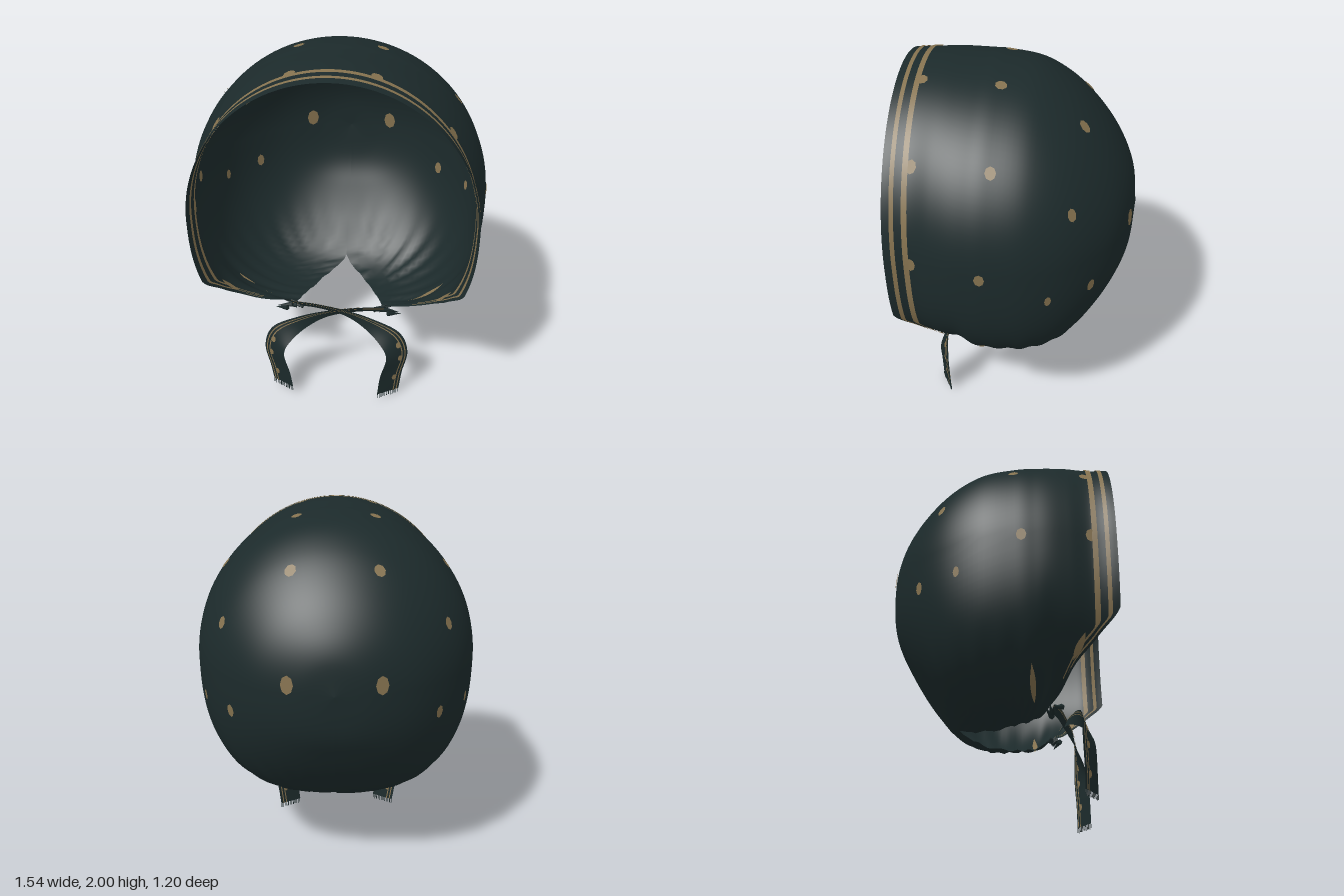
import * as THREE from 'three';

const cloth = new THREE.MeshStandardMaterial({ color: 0x1c2a2b, side: THREE.DoubleSide });
cloth.name = 'dark teal cloth';
const bronze = new THREE.MeshStandardMaterial({ color: 0x85724f, side: THREE.DoubleSide });
bronze.name = 'bronze print';

const V = (x, y, z) => new THREE.Vector3(x, y, z);
const MID = 1.22;
const LOWER = 2.6; // roundness exponent of the lower half

// Slices from back to front: z, half width, top, bottom, half width of the opening below
const slices = [
  [-0.6, 0, 1.22, 1.22, 0], [-0.576, 0.2, 1.41, 1.0, 0], [-0.506, 0.39, 1.57, 0.84, 0],
  [-0.395, 0.54, 1.725, 0.66, 0], [-0.25, 0.662, 1.863, 0.495, 0], [-0.081, 0.737, 1.958, 0.425, 0.13],
  [0.1, 0.762, 1.99, 0.422, 0.22], [0.2, 0.762, 1.994, 0.44, 0.25], [0.28, 0.755, 1.997, 0.5, 0.3],
  [0.37, 0.735, 2, 0.5, 0.505], [0.48, 0.705, 1.995, 0.5, 0.59],
  [0.58, 0.715, 1.985, 0.5, 0.655], [0.6, 0.717, 1.983, 0.5, 0.67],
];
const spline = (pts) => new THREE.CatmullRomCurve3(pts, false, 'catmullrom', 0.5);
const sizes = spline(slices.map((s) => V(s[1], s[2], s[3])));
const edges = spline(slices.map((s) => V(s[0], s[4], 0)));

// Angle at which a slice meets the neck or face opening
function endAngle(t) {
  const w = sizes.getPoint(t).x;
  const ratio = w > 0.01 ? THREE.MathUtils.clamp(edges.getPoint(t).y / w, 0, 1) : 0;
  return -Math.acos(Math.pow(ratio, LOWER / 2));
}

// Point of the bonnet: t runs back to front, angle runs round the slice
function surface(t, angle, lift = 0) {
  const s = sizes.getPoint(t);
  const c = Math.cos(angle), n = Math.sin(angle);
  const low = n < 0;
  let x = s.x * Math.sign(c) * Math.pow(Math.abs(c), low ? 2 / LOWER : 1);
  let y = low ? MID - (MID - s.z) * Math.pow(-n, 2 / LOWER) : MID + (s.y - MID) * n;
  const z = edges.getPoint(t).x;
  // Gathers towards the neck
  const gather = THREE.MathUtils.smoothstep(0.85 - y, 0, 0.4);
  const k = 1 + 0.008 * gather * Math.sin(30 * Math.atan2(x, z - 0.05));
  x *= k;
  y = MID + (y - MID) * (y < MID ? k : 1);
  const r = Math.hypot(x, y - MID) || 1;
  return V(x + (lift * x) / r, y + (lift * (y - MID)) / r, z);
}

function tAtZ(z) {
  let a = 0, b = 1;
  for (let i = 0; i < 30; i++) {
    const m = (a + b) / 2;
    if (edges.getPoint(m).x < z) a = m; else b = m;
  }
  return a;
}

// Grid surface from a rule over 0..1 by 0..1
function sheet(name, material, nu, nv, rule) {
  const pos = [], index = [];
  for (let i = 0; i <= nu; i++) {
    for (let j = 0; j <= nv; j++) {
      pos.push(...rule(i / nu, j / nv).toArray());
      if (i < nu && j < nv) {
        const a = i * (nv + 1) + j, b = a + nv + 1;
        index.push(a, b, a + 1, b, b + 1, a + 1);
      }
    }
  }
  const g = new THREE.BufferGeometry();
  g.setAttribute('position', new THREE.Float32BufferAttribute(pos, 3));
  g.setIndex(index);
  g.computeVertexNormals();
  const mesh = new THREE.Mesh(g, material);
  mesh.name = name;
  return mesh;
}

// Hem stripe: round the face opening, then along the slanted lower edge
function hemStripe(d0, d1, lift) {
  return sheet('hemStripe', bronze, 160, 1, (u, v) => {
    const a = u * 2 - 1, m = Math.abs(a);
    const d = d0 + (d1 - d0) * v;
    const z0 = 0.6 - d, turn = 0.78;
    const z = m < turn ? z0 : THREE.MathUtils.mapLinear(m, turn, 1, z0, 0.32);
    const t = tAtZ(z);
    const stop = endAngle(t) + d * 0.9;
    const angle = m < turn ? THREE.MathUtils.lerp(Math.PI / 2, stop, m / turn) : stop;
    const p = surface(t, angle, lift);
    if (a < 0) p.x *= -1;
    return p;
  });
}

// Spot drawn out into a streak by the gathers
function streak(z0, z1, a0, a1, half, side, lift) {
  return sheet('gatheredSpot', bronze, 14, 2, (u, v) => {
    const z = THREE.MathUtils.lerp(z0, z1, u) + half * Math.sin(Math.PI * u) * (v * 2 - 1);
    const p = surface(tAtZ(z), THREE.MathUtils.lerp(a0, a1, u), lift);
    p.x *= side;
    return p;
  });
}

// Printed spot, shown on both faces of the cloth
const spotShape = new THREE.CircleGeometry(1, 8);
function addSpot(group, p, normal, w, h) {
  for (const side of [1, -1]) {
    const spot = new THREE.Mesh(spotShape, bronze);
    spot.name = 'spot';
    spot.position.copy(p).addScaledVector(normal, 0.005 * side);
    spot.lookAt(spot.position.clone().add(normal));
    spot.scale.set(w, h, 1);
    group.add(spot);
  }
}

// Tie ribbon crossing under the chin and hanging on one side
function tie(side, drop, forward) {
  const group = new THREE.Group();
  group.name = side > 0 ? 'leftTie' : 'rightTie';
  const centre = spline([
    V(-0.27, 0.5, 0.27), V(-0.12, 0.52, 0.31), V(0.05, 0.512, 0.35), V(0.18, 0.478, 0.39),
    V(0.3, 0.405, 0.42), V(0.343, 0.3, 0.43), V(0.315, 0.16, 0.435), V(0.3, drop, 0.435),
  ]);
  const half = spline([
    V(0, 0.022, 0.01), V(0, 0.022, 0.012), V(0.008, 0.025, 0.01), V(0.02, 0.036, 0),
    V(0.05, 0.035, -0.02), V(0.058, 0.005, -0.034), V(0.06, -0.005, -0.034), V(0.06, 0, -0.034),
  ]);
  const at = (u, s, lift = 0) => {
    const h = half.getPoint(u);
    const n = centre.getTangent(u).cross(h).normalize();
    const p = centre.getPoint(u).addScaledVector(h, s).addScaledVector(n, lift);
    return V(p.x * side, p.y, p.z + forward);
  };
  group.add(sheet('ribbon', cloth, 60, 4, (u, v) => at(u, v * 2 - 1)));
  for (const lift of [0.004, -0.004]) {
    for (const s of [0.42, 0.7]) {
      group.add(sheet('ribbonStripe', bronze, 60, 1, (u, v) => at(u, s + v * 0.1, lift)));
    }
  }
  for (const u of [0.64, 0.74, 0.88]) {
    addSpot(group, at(u, 0.3), at(u, 0.3, 1).sub(at(u, 0.3)), 0.014, 0.02);
  }
  // Fringe
  for (let i = 0; i < 12; i++) {
    const p = at(1, -0.95 + (i * 1.9) / 11);
    const len = 0.024 + 0.006 * ((i * 5) % 3) / 2;
    const thread = new THREE.Mesh(new THREE.BoxGeometry(0.004, len, 0.004), cloth);
    thread.name = 'fringeThread';
    thread.position.set(p.x, p.y - len / 2, p.z);
    group.add(thread);
  }
  // Bunched cloth where the ribbon leaves the neck
  for (let i = 0; i < 5; i++) {
    const tuck = new THREE.Mesh(new THREE.ConeGeometry(0.016, 0.09, 5), cloth);
    tuck.name = 'tuck';
    tuck.position.set(side * (-0.24 - 0.02 * i), 0.49 + 0.008 * (i % 2), 0.25 + 0.012 * i);
    tuck.rotation.set(0.5 * i - 1, 0, side * (1.1 + 0.25 * i));
    group.add(tuck);
  }
  return group;
}

export function createModel() {
  const model = new THREE.Group();
  model.name = 'bonnet';

  const shell = sheet('bonnetShell', cloth, 84, 120, (u, v) => {
    const e = endAngle(u);
    return surface(u, THREE.MathUtils.lerp(e, Math.PI - e, v));
  });
  model.add(shell);

  for (const lift of [0.005, -0.005]) {
    model.add(hemStripe(0.037, 0.058, lift), hemStripe(0.094, 0.121, lift));
    for (const side of [1, -1]) {
      model.add(streak(0.17, 0.18, -0.78, -1.15, 0.014, side, lift));
      model.add(streak(0.43, 0.37, -0.6, -0.84, 0.018, side, lift));
    }
  }

  // Spots: position, half width, half height
  const spots = [
    [0.23, 1.27, -0.56, 0.034, 0.05], [0.52, 1.06, -0.38, 0.024, 0.036], [0.58, 1.5, -0.29, 0.024, 0.034],
    [0.23, 1.8, -0.33, 0.03, 0.036], [0.21, 1.97, 0.09, 0.03, 0.03], [0.59, 1.71, 0.09, 0.027, 0.033],
    [0.76, 1.22, 0.13, 0.026, 0.034], [0.69, 1.06, -0.19, 0.018, 0.03], [0.2, 1.97, 0.475, 0.03, 0.03],
    [0.57, 1.71, 0.475, 0.027, 0.035], [0.71, 1.24, 0.475, 0.026, 0.036],
  ];
  const origin = V(0, 1.2, 0);
  const printed = new THREE.Group();
  printed.name = 'spots';
  for (const [x, y, z, w, h] of spots) {
    for (const side of [1, -1]) {
      const dir = V(x * side, y, z).sub(origin).normalize();
      const hit = new THREE.Raycaster(origin, dir).intersectObject(shell)[0];
      if (hit) addSpot(printed, hit.point, hit.face.normal, w, h);
    }
  }
  model.add(printed);

  model.add(tie(1, 0.03, 0), tie(-1, 0.06, 0.012));
  return model;
}
